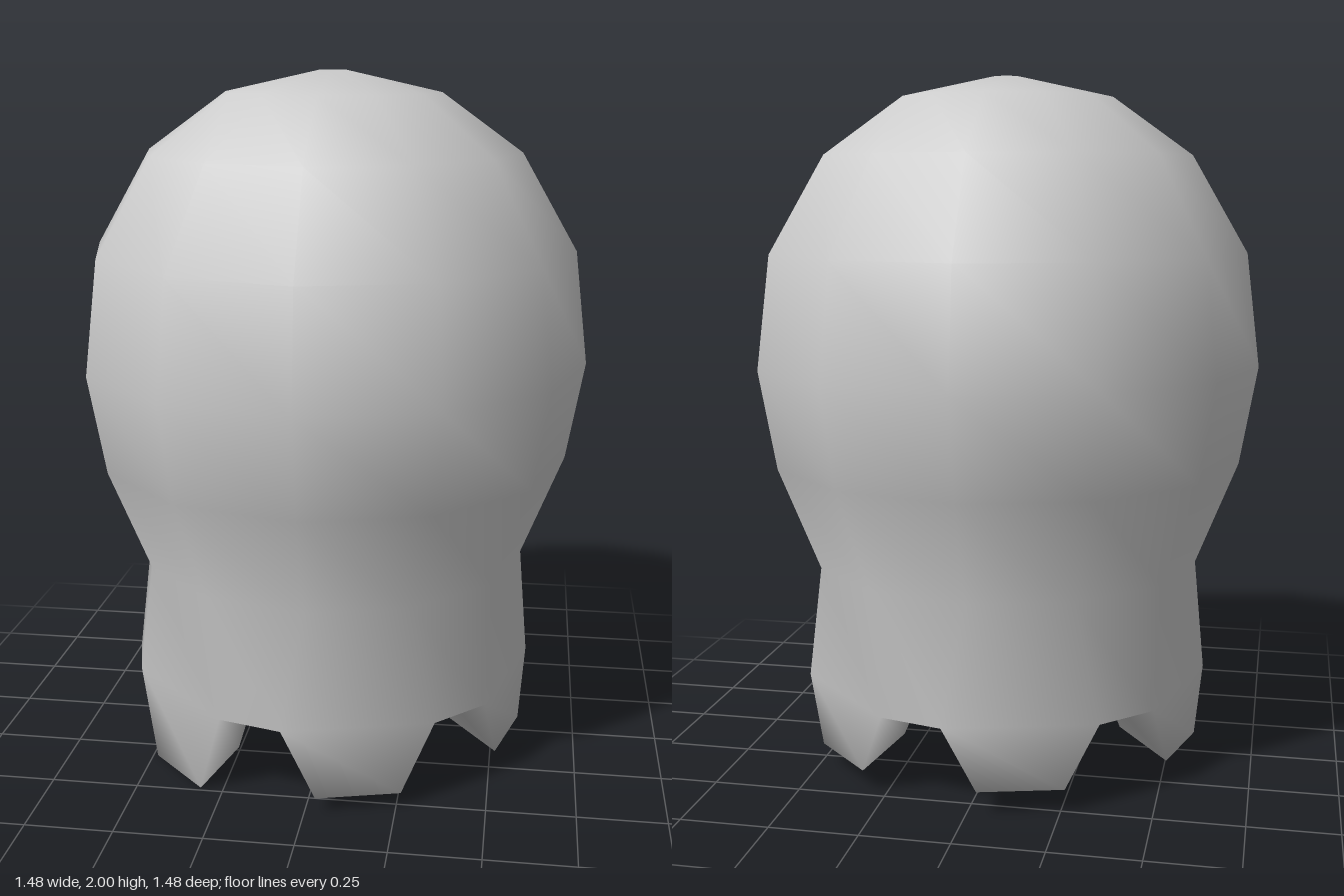
import * as THREE from 'three';

const SIDES = 12;

// Ring radius and height, from the crown down to the waist
const PROFILE = [[0.04, 2], [0.31, 1.94], [0.54, 1.775], [0.7, 1.5], [0.74, 1.175], [0.69, 0.89], [0.57, 0.59]];
const HEM = 0.25;

// Height of the tip of each of the six flaps, starting just left of the front
const TIPS = [0.045, 0.06, 0.065, 0.07, 0.07, 0];

export function createModel() {
  const group = new THREE.Group();
  const positions = [];
  const index = [];

  const addVertex = (r, y, degrees) => {
    const a = THREE.MathUtils.degToRad(degrees);
    positions.push(r * Math.sin(a), y, r * Math.cos(a));
    return positions.length / 3 - 1;
  };
  const quad = (a, b, c, d) => index.push(a, b, c, a, c, d);

  // spread widens (+) or narrows (-) each flap; a flap spans an even and the next odd vertex
  const addRing = (r, heightAt, spread = 0) =>
    Array.from({ length: SIDES }, (_, j) =>
      addVertex(r, heightAt(j), j * 30 + (j % 2 ? spread : -spread)));
  const tipHeight = (j) => TIPS[Math.floor(j / 2)];

  const dome = PROFILE.map(([r, y]) => addRing(r, () => y));
  const hem = addRing(0.6, () => HEM, 6);
  const tip = addRing(0.58, tipHeight, -3);
  const innerHem = addRing(0.425, () => HEM, 6);
  const innerTip = addRing(0.415, (j) => tipHeight(j) + 0.06, -4);
  const crown = addVertex(0, PROFILE[0][1], 0);
  const underside = addVertex(0, HEM, 0);

  const walls = [...dome, hem];
  for (let j = 0; j < SIDES; j++) {
    const n = (j + 1) % SIDES;

    // Dome down to the hem
    index.push(crown, dome[0][j], dome[0][n]);
    for (let k = 0; k < walls.length - 1; k++) {
      quad(walls[k][j], walls[k + 1][j], walls[k + 1][n], walls[k][n]);
    }

    // Closed underside between the flaps
    index.push(underside, innerHem[n], innerHem[j]);

    if (j % 2) {
      // Gap between two flaps
      quad(hem[j], innerHem[j], innerHem[n], hem[n]);
    } else {
      // Thick tapered flap: outside, inside, bottom and two sides
      quad(hem[j], tip[j], tip[n], hem[n]);
      quad(innerHem[j], innerHem[n], innerTip[n], innerTip[j]);
      quad(tip[j], innerTip[j], innerTip[n], tip[n]);
      quad(tip[j], hem[j], innerHem[j], innerTip[j]);
      quad(hem[n], tip[n], innerTip[n], innerHem[n]);
    }
  }

  const geometry = new THREE.BufferGeometry();
  geometry.setAttribute('position', new THREE.Float32BufferAttribute(positions, 3));
  geometry.setIndex(index);
  geometry.computeVertexNormals();
  // Keep the small crown cap smooth
  dome[0].forEach((v) => geometry.attributes.normal.setXYZ(v, 0, 1, 0));

  const body = new THREE.Mesh(geometry, new THREE.MeshStandardMaterial({ color: 0xcccccc }));
  body.name = 'domedBodyWithFlaps';
  group.add(body);
  return group;
}
